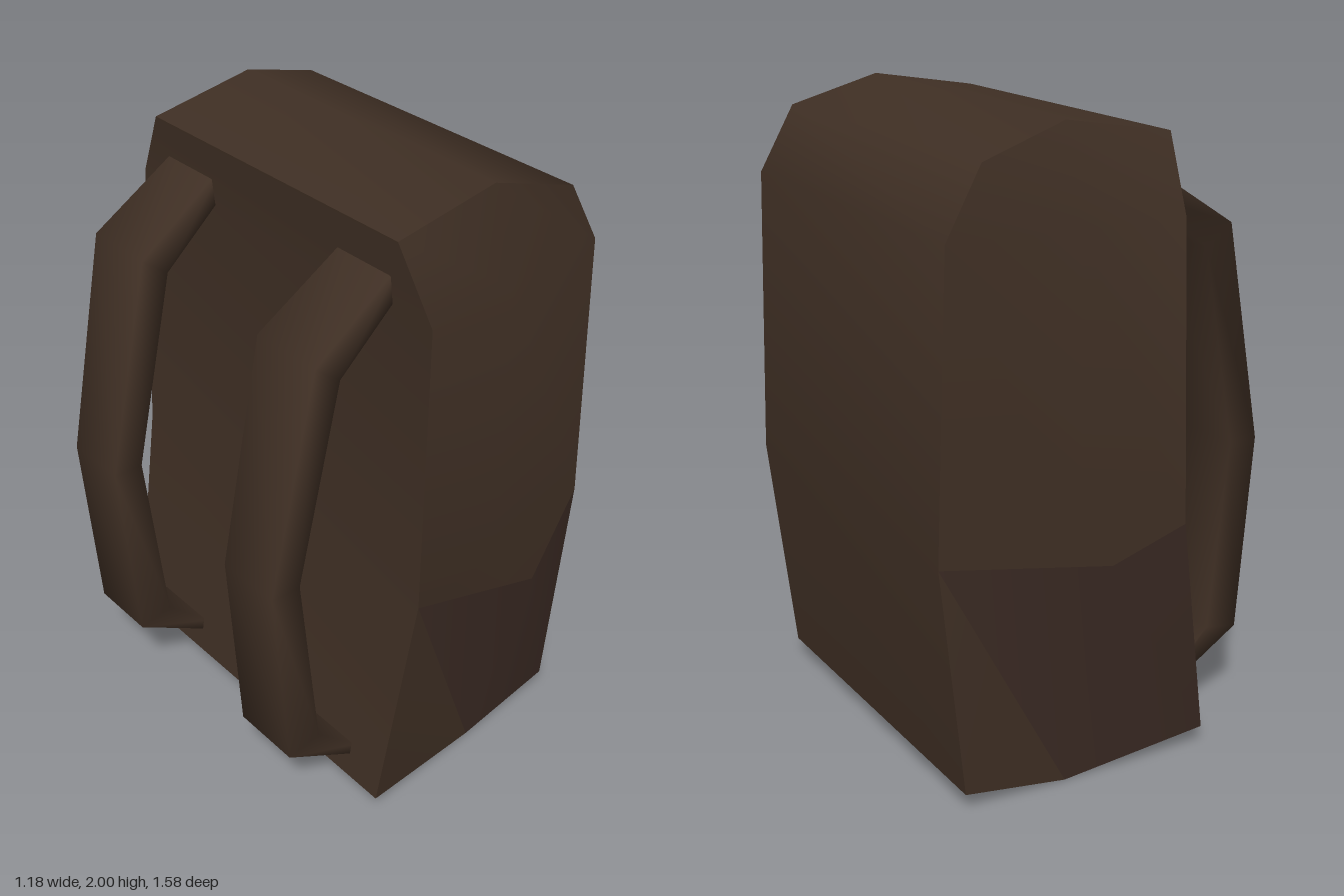
import * as THREE from 'three';
import { toCreasedNormals } from 'three/addons/utils/BufferGeometryUtils.js';

// Side outline as rows from top to bottom; each row is back, middle, front [x, y, z]
const rows = [
  [[-0.19, 1.94, 0.535], [0.16, 2.0, 0.535], [0.44, 1.92, 0.565]],
  [[-0.165, 1.72, 0.65], [0.16, 1.72, 0.62], [0.555, 1.72, 0.57]],
  [[-0.19, 0.805, 0.67], [0.16, 0.807, 0.64], [0.59, 0.812, 0.57]],
  [[-0.31, 0.07, 0.64], [0.16, 0, 0.57], [0.51, 0.07, 0.57]],
];
// The pocket bulges out around the lower half of the side panel
const pocketRows = [
  [rows[2][0], [0.16, 0.807, 0.79], rows[2][2]],
  rows[3],
];
const mirrorZ = ([x, y, z]) => [x, y, -z];

function quad(out, a, b, c, d) {
  out.push(...a, ...b, ...c, ...a, ...c, ...d);
}

// Quads over a grid of rows, on the +z side or mirrored to -z
function addPanel(out, grid, side) {
  for (let r = 0; r < grid.length - 1; r++) {
    for (let c = 0; c < 2; c++) {
      const q = [grid[r][c], grid[r + 1][c], grid[r + 1][c + 1], grid[r][c + 1]];
      quad(out, ...(side > 0 ? q : q.map(mirrorZ).reverse()));
    }
  }
}

function creased(positions) {
  const g = new THREE.BufferGeometry();
  g.setAttribute('position', new THREE.Float32BufferAttribute(positions, 3));
  return toCreasedNormals(g, 0.9);
}

function bodyGeometry() {
  const out = [];
  addPanel(out, rows, 1);
  addPanel(out, rows, -1);
  // Band running round the outline: top, front, bottom, back
  const loop = [...rows[0], rows[1][2], rows[2][2], rows[3][2], rows[3][1], rows[3][0], rows[2][0], rows[1][0]];
  loop.forEach((p, i) => {
    const q = loop[(i + 1) % loop.length];
    quad(out, p, q, mirrorZ(q), mirrorZ(p));
  });
  return creased(out);
}

function pocketGeometry(side) {
  const out = [];
  addPanel(out, pocketRows, side);
  return creased(out);
}

// Padded strap: outer x, y, inner x, y, half width; ends sunk into the back panel
function strapGeometry() {
  const sections = [
    [-0.14, 1.845, -0.14, 1.755, 0.105],
    [-0.447, 1.645, -0.36, 1.58, 0.12],
    [-0.595, 0.94, -0.495, 0.94, 0.109],
    [-0.545, 0.3, -0.43, 0.325, 0.115],
    [-0.27, 0.135, -0.27, 0.175, 0.11],
  ];
  const pos = [], index = [];
  sections.forEach(([ox, oy, ix, iy, w], i) => {
    pos.push(ox, oy, -w, ox, oy, w, ix, iy, w, ix, iy, -w);
    if (i === sections.length - 1) return;
    for (let k = 0; k < 4; k++) {
      const a = i * 4 + k, d = i * 4 + (k + 1) % 4;
      index.push(a, a + 4, d + 4, a, d + 4, d);
    }
  });
  const g = new THREE.BufferGeometry();
  g.setAttribute('position', new THREE.Float32BufferAttribute(pos, 3));
  g.setIndex(index);
  g.computeVertexNormals();
  return g;
}

export function createModel() {
  const canvas = new THREE.MeshStandardMaterial({ color: 0x3f2f24 });
  canvas.name = 'brown canvas';
  const pocketCloth = new THREE.MeshStandardMaterial({ color: 0x3d2c25, side: THREE.DoubleSide });
  pocketCloth.name = 'reddish brown pocket cloth';

  const group = new THREE.Group();
  group.name = 'backpack';
  const add = (name, geometry, material, z = 0) => {
    const mesh = new THREE.Mesh(geometry, material);
    mesh.name = name;
    mesh.position.z = z;
    group.add(mesh);
  };

  add('bagBody', bodyGeometry(), canvas);
  const strap = strapGeometry();
  for (const side of [1, -1]) {
    const label = side > 0 ? 'Front' : 'Rear';
    add('sidePocket' + label, pocketGeometry(side), pocketCloth);
    add('shoulderStrap' + label, strap, canvas, side * 0.39);
  }
  return group;
}
